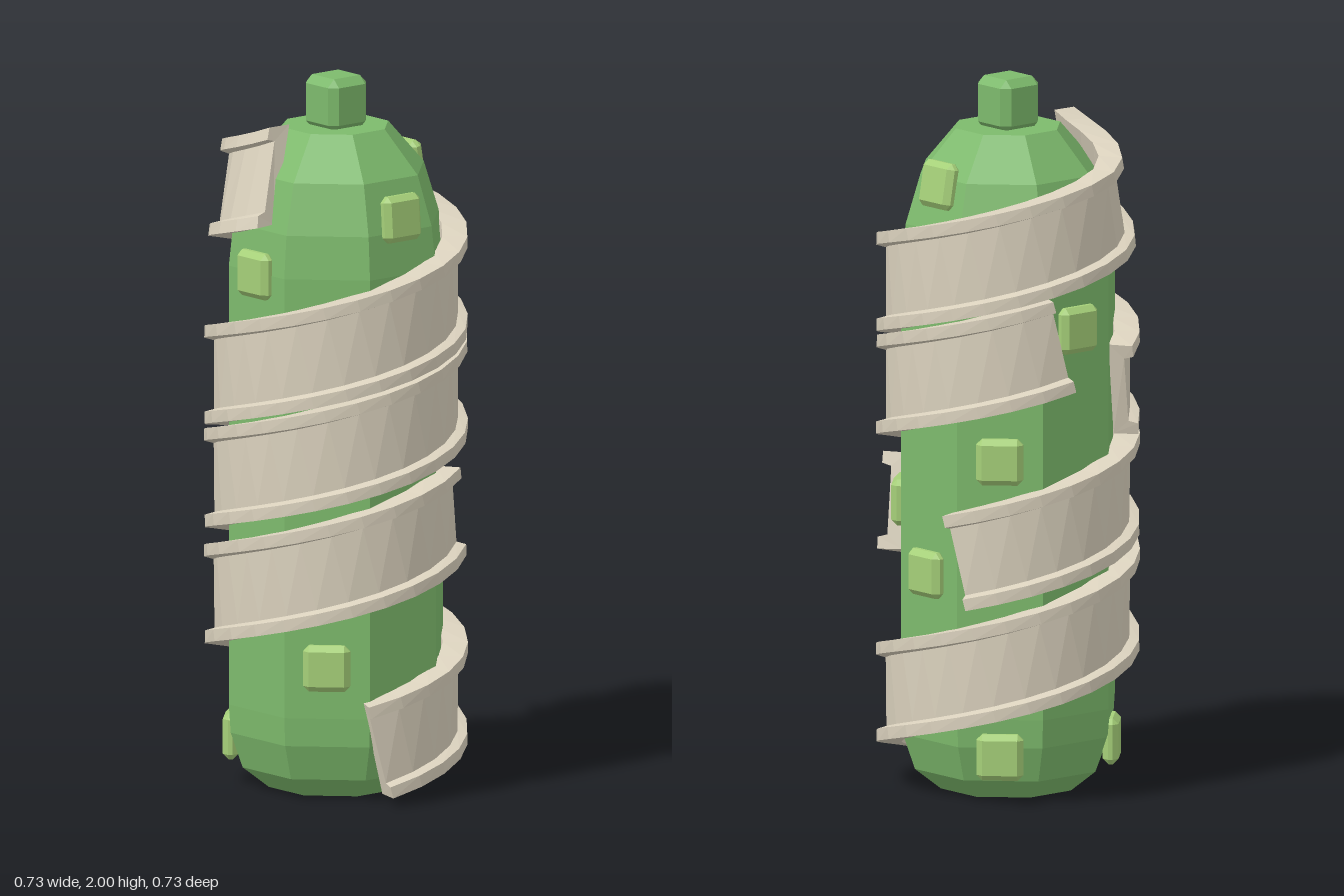
import * as THREE from 'three';
import { ConvexGeometry } from 'three/addons/geometries/ConvexGeometry.js';

const DEG = Math.PI / 180;
const mat = (color, side = THREE.FrontSide) =>
  new THREE.MeshStandardMaterial({ color, side, flatShading: true });

// Box with every edge and corner cut off
function chamferBox(w, h, d, c) {
  const pts = [];
  for (const x of [-1, 1]) for (const y of [-1, 1]) for (const z of [-1, 1]) {
    for (let k = 0; k < 3; k++) {
      pts.push(new THREE.Vector3(
        x * (w / 2 - (k === 0 ? 0 : c)),
        y * (h / 2 - (k === 1 ? 0 : c)),
        z * (d / 2 - (k === 2 ? 0 : c))));
    }
  }
  return new ConvexGeometry(pts);
}

// Band cross-section: [height along the band, radius], a panel with raised rims
const BAND = [
  [-0.135, 0.295], [-0.135, 0.365], [-0.102, 0.365], [-0.095, 0.338],
  [0.095, 0.338], [0.102, 0.365], [0.135, 0.365], [0.135, 0.295],
];

// Strip wound around the body from angle a0 to a1 (degrees, 0 = front, 90 = +x)
function windingGeometry(a0, a1, y0, y1, tuck) {
  const segs = 28, n = BAND.length, pos = [], idx = [];
  const slope = Math.atan((y1 - y0) / ((a1 - a0) * DEG * 0.34));
  for (let i = 0; i <= segs; i++) {
    const t = i / segs;
    const angle = a0 + (a1 - a0) * t;
    const s = tuck * THREE.MathUtils.smoothstep(angle, a1 - 85, a1);
    for (const [v, r0] of BAND) {
      // the last stretch leans in over the dome
      const r = r0 - s * THREE.MathUtils.lerp(0.03, 0.13, (v + 0.135) / 0.27);
      const a = angle * DEG - v * Math.sin(slope) / 0.34;
      pos.push(r * Math.sin(a), y0 + (y1 - y0) * t + v * Math.cos(slope), r * Math.cos(a));
    }
  }
  for (let i = 0; i < segs; i++) {
    for (let j = 0; j < n; j++) {
      const k = (j + 1) % n;
      const a = i * n + j, b = a + n, c = (i + 1) * n + k, d = i * n + k;
      idx.push(a, b, c, a, c, d);
    }
  }
  // end caps
  const e = segs * n;
  for (const [a, b, c, d] of [[0, 1, 2, 3], [0, 3, 4, 7], [4, 5, 6, 7]]) {
    idx.push(a, b, c, a, c, d, e + a, e + c, e + b, e + a, e + d, e + c);
  }
  const indexed = new THREE.BufferGeometry();
  indexed.setAttribute('position', new THREE.Float32BufferAttribute(pos, 3));
  indexed.setIndex(idx);
  const g = indexed.toNonIndexed();
  g.computeVertexNormals();
  return g;
}

export function createModel() {
  const model = new THREE.Group();
  const green = mat(0x7dba6c);
  const lightGreen = mat(0xa5cf78);
  const cloth = mat(0xd9d0bc, THREE.DoubleSide);

  const add = (name, geometry, material, parent = model) => {
    const mesh = new THREE.Mesh(geometry, material);
    mesh.name = name;
    parent.add(mesh);
    return mesh;
  };

  // Eight-sided body: [half width across flats, height]
  const profile = [
    [0, 0], [0.18, 0], [0.25, 0.06], [0.282, 0.16], [0.287, 0.24],
    [0.287, 1.48], [0.275, 1.6], [0.235, 1.74], [0.14, 1.86], [0, 1.86],
  ].map(([r, y]) => new THREE.Vector2(r / Math.cos(Math.PI / 8), y));
  add('body', new THREE.LatheGeometry(profile, 8, Math.PI / 8), green);

  // Knob on top
  add('topKnob', chamferBox(0.138, 0.15, 0.138, 0.022), green).position.y = 1.925;

  // Studs: [angle, height, distance from axis, backward lean]
  const studs = new THREE.Group();
  studs.name = 'studs';
  model.add(studs);
  const studGeometry = chamferBox(0.13, 0.13, 0.044, 0.016);
  [
    [0, 1.475, 0.292, 0], [90, 1.64, 0.278, 4], [180, 1.725, 0.252, 10],
    [270, 1.33, 0.296, 0], [225, 0.97, 0.298, 0], [135, 0.8, 0.298, 0],
    [180, 0.635, 0.298, 0], [45, 0.385, 0.298, 0], [315, 0.135, 0.288, 0],
    [225, 0.135, 0.288, 0],
  ].forEach(([deg, y, r, lean]) => {
    const stud = add('stud', studGeometry, lightGreen, studs);
    const a = deg * DEG;
    stud.position.set(r * Math.sin(a), y, r * Math.cos(a));
    stud.rotation.set(-lean * DEG, a, 0, 'YXZ');
  });

  // Three wound strips
  add('lowerWrap', windingGeometry(70, 486, 0.155, 0.785, 0), cloth);
  add('middleWrap', windingGeometry(205, 615, 0.69, 1.3, 0), cloth);
  add('upperWrap', windingGeometry(305, 724, 1.13, 1.75, 1), cloth);

  return model;
}
